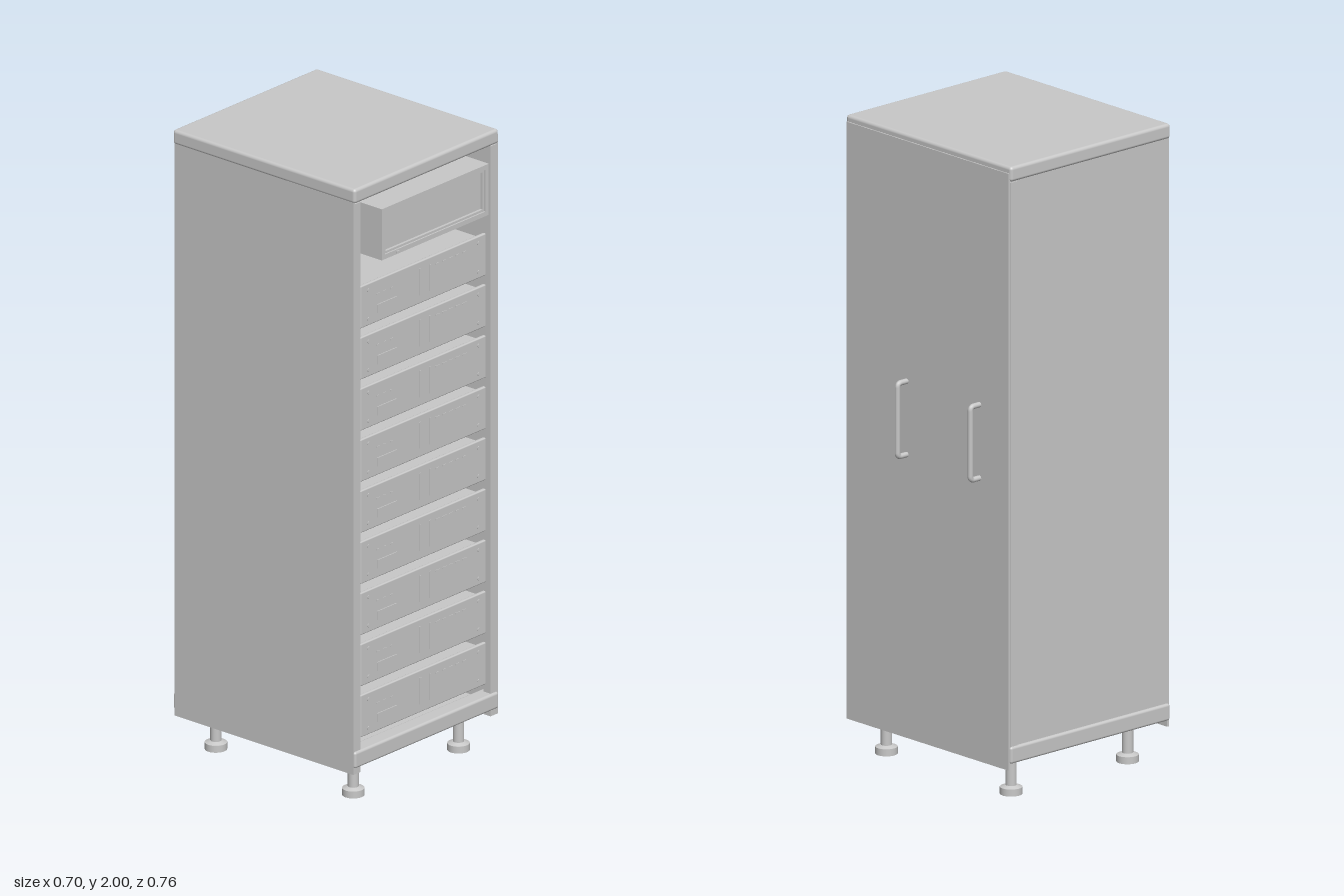
import * as THREE from 'three';
import { RoundedBoxGeometry } from 'three/addons/geometries/RoundedBoxGeometry.js';

export function createModel() {
  const root = new THREE.Group();
  root.name = 'equipmentCabinet';
  const grey = new THREE.MeshStandardMaterial({ color: 0xc8c8c8 });
  grey.name = 'light grey metal';

  function add(parent, name, geometry, x = 0, y = 0, z = 0) {
    const mesh = new THREE.Mesh(geometry, grey);
    mesh.name = name;
    mesh.position.set(x, y, z);
    parent.add(mesh);
    return mesh;
  }
  // Box given by its limits; r rounds the edges
  function box(parent, name, x0, x1, y0, y1, z0, z1, r = 0) {
    const size = [x1 - x0, y1 - y0, z1 - z0];
    const g = r ? new RoundedBoxGeometry(...size, 3, r) : new THREE.BoxGeometry(...size);
    return add(parent, name, g, (x0 + x1) / 2, (y0 + y1) / 2, (z0 + z1) / 2);
  }
  // Flat bezel with a rectangular hole
  function bezel(parent, name, w, h, border, depth, x, y, z) {
    const s = new THREE.Shape();
    s.moveTo(-w / 2, -h / 2).lineTo(w / 2, -h / 2).lineTo(w / 2, h / 2).lineTo(-w / 2, h / 2).closePath();
    const a = w / 2 - border, b = h / 2 - border;
    const hole = new THREE.Path();
    hole.moveTo(-a, -b).lineTo(-a, b).lineTo(a, b).lineTo(a, -b).closePath();
    s.holes.push(hole);
    add(parent, name, new THREE.ExtrudeGeometry(s, { depth, bevelEnabled: false }), x, y, z);
  }

  // Cabinet shell: side walls, back, floor, lid and lower rails
  box(root, 'outerWall', -0.35, -0.343, 0.11, 1.97, -0.375, 0.338);
  box(root, 'handleWall', 0.297, 0.304, 0.11, 1.98, -0.375, 0.338);
  box(root, 'backPanel', -0.343, 0.297, 0.13, 1.96, -0.373, -0.366);
  box(root, 'backStile', 0.268, 0.297, 0.18, 1.95, -0.376, -0.366);
  box(root, 'frontStile', -0.343, -0.317, 0.11, 1.95, 0.31, 0.338);
  box(root, 'frontStile', 0.27, 0.297, 0.11, 1.95, 0.31, 0.338);
  box(root, 'floor', -0.343, 0.297, 0.132, 0.145, -0.37, 0.335);
  box(root, 'lid', -0.352, 0.3, 1.953, 2, -0.382, 0.345, 0.01);
  box(root, 'frontRail', -0.35, 0.3, 0.13, 0.183, 0.29, 0.345, 0.008);
  box(root, 'backRail', -0.35, 0.3, 0.13, 0.183, -0.382, -0.34, 0.008);

  // Nine rack units with screws, label plate and vents
  const screw = new THREE.CylinderGeometry(0.006, 0.006, 0.004, 12).rotateX(Math.PI / 2);
  for (let i = 0; i < 9; i++) {
    const unit = new THREE.Group();
    unit.name = 'rackUnit';
    unit.position.y = 0.283 + i * 0.165;
    root.add(unit);
    box(unit, 'unitFace', -0.308, 0.259, -0.068, 0.068, 0.318, 0.33, 0.004);
    box(unit, 'unitBody', -0.285, 0.236, -0.06, 0.06, -0.3, 0.32);
    box(unit, 'labelPlate', -0.235, -0.147, -0.039, -0.011, 0.329, 0.333);
    for (const x of [-0.272, 0.225])
      for (const y of [-0.046, 0.046]) add(unit, 'screw', screw, x, y, 0.33);
    for (const x of [-0.23, -0.2, -0.17]) box(unit, 'indicator', x - 0.006, x + 0.006, 0.02, 0.025, 0.329, 0.3315);
    for (const x of [-0.04, 0.005]) box(unit, 'ventSlit', x - 0.004, x + 0.004, -0.04, 0.045, 0.329, 0.3315);
    for (let k = 0; k < 5; k++) box(unit, 'ventSlot', 0.03 + k * 0.03, 0.048 + k * 0.03, 0.035, 0.04, 0.329, 0.3315);
  }

  // Display housing projecting from the top bay
  const display = new THREE.Group();
  display.name = 'display';
  root.add(display);
  box(display, 'displayHousing', -0.265, 0.218, 1.755, 1.92, 0.27, 0.362);
  bezel(display, 'displayBezel', 0.483, 0.165, 0.015, 0.015, -0.0235, 1.8375, 0.361);
  bezel(display, 'screenFrame', 0.453, 0.135, 0.007, 0.01, -0.0235, 1.8375, 0.361);
  box(display, 'displayButton', -0.201, -0.189, 1.759, 1.766, 0.375, 0.38);

  // Bow handles on the side wall
  const v = (x, y) => new THREE.Vector3(x, y, 0);
  const path = new THREE.CurvePath();
  path.add(new THREE.LineCurve3(v(0.3, 0.998), v(0.328, 0.998)));
  path.add(new THREE.QuadraticBezierCurve3(v(0.328, 0.998), v(0.341, 0.998), v(0.341, 1.011)));
  path.add(new THREE.LineCurve3(v(0.341, 1.011), v(0.341, 1.215)));
  path.add(new THREE.QuadraticBezierCurve3(v(0.341, 1.215), v(0.341, 1.228), v(0.328, 1.228)));
  path.add(new THREE.LineCurve3(v(0.328, 1.228), v(0.3, 1.228)));
  const handle = new THREE.TubeGeometry(path, 80, 0.0085, 12);
  for (const z of [0.073, -0.247]) add(root, 'handle', handle, 0, 0, z);

  // Levelling feet
  for (const x of [-0.262, 0.213])
    for (const z of [0.26, -0.288]) {
      const foot = new THREE.Group();
      foot.name = 'foot';
      foot.position.set(x, 0, z);
      root.add(foot);
      add(foot, 'footPad', new THREE.CylinderGeometry(0.034, 0.034, 0.022, 32), 0, 0.011);
      add(foot, 'footCollar', new THREE.CylinderGeometry(0.018, 0.032, 0.006, 32), 0, 0.025);
      add(foot, 'footStem', new THREE.CylinderGeometry(0.017, 0.017, 0.12, 24), 0, 0.08);
    }
  return root;
}
